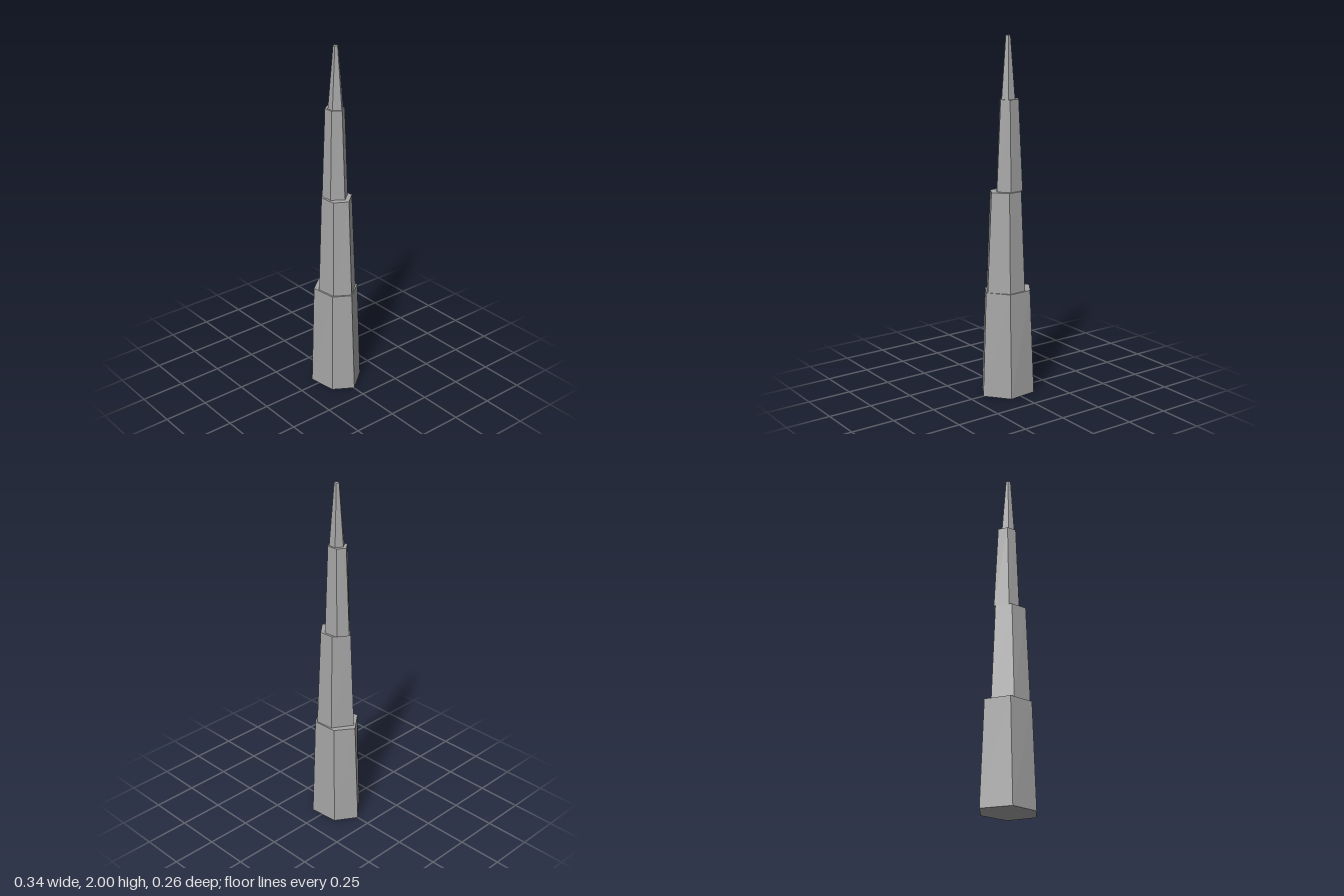
import * as THREE from 'three';

// Each tier: bottom and top height, then matching six-sided outlines as [x, z]
const TIERS = [
  { name: 'baseTier', y: [0, 0.6],
    bottom: [[-0.172, 0], [-0.097, -0.117], [0.069, -0.131], [0.171, -0.002], [0.104, 0.107], [-0.054, 0.132]],
    top: [[-0.147, -0.004], [-0.078, -0.103], [0.063, -0.109], [0.146, 0.002], [0.09, 0.094], [-0.054, 0.112]] },
  { name: 'lowerTier', y: [0.6, 1.16],
    bottom: [[-0.117, 0.017], [-0.049, -0.094], [0.056, -0.101], [0.139, -0.003], [0.085, 0.085], [-0.024, 0.099]],
    top: [[-0.092, 0.013], [-0.037, -0.074], [0.046, -0.079], [0.112, -0.003], [0.069, 0.071], [-0.024, 0.078]] },
  { name: 'upperTier', y: [1.16, 1.66],
    bottom: [[-0.094, 0], [-0.058, -0.058], [0.026, -0.066], [0.077, -0.004], [0.033, 0.061], [-0.035, 0.065]],
    top: [[-0.068, 0], [-0.04, -0.044], [0.02, -0.048], [0.051, -0.004], [0.022, 0.044], [-0.033, 0.045]] },
  { name: 'spire', y: [1.66, 2],
    bottom: [[-0.045, 0.003], [-0.022, -0.036], [0.022, -0.036], [0.046, -0.006], [0.018, 0.035], [-0.021, 0.035]],
    top: [[-0.016, 0], [-0.008, -0.013], [0.007, -0.014], [0.015, -0.002], [0.008, 0.011], [-0.008, 0.01]] },
];

// Closed, faceted loft between two outlines
function tierGeometry({ y, bottom, top }) {
  const lo = bottom.map(([x, z]) => [x, y[0], z]);
  const hi = top.map(([x, z]) => [x, y[1], z]);
  const n = lo.length;
  const positions = [];
  const tri = (a, b, c) => positions.push(...a, ...b, ...c);
  for (let i = 0; i < n; i++) {
    const j = (i + 1) % n;
    tri(lo[j], lo[i], hi[i]);
    tri(lo[j], hi[i], hi[j]);
  }
  // End caps
  for (let i = 1; i < n - 1; i++) {
    tri(hi[0], hi[i + 1], hi[i]);
    tri(lo[0], lo[i], lo[i + 1]);
  }
  const geometry = new THREE.BufferGeometry();
  geometry.setAttribute('position', new THREE.Float32BufferAttribute(positions, 3));
  geometry.computeVertexNormals();
  return geometry;
}

export function createModel() {
  const group = new THREE.Group();
  group.name = 'steppedTower';
  const stone = new THREE.MeshStandardMaterial({ color: 0xa6a6a6 });
  stone.name = 'grey stone';
  for (const tier of TIERS) {
    const mesh = new THREE.Mesh(tierGeometry(tier), stone);
    mesh.name = tier.name;
    group.add(mesh);
  }
  return group;
}
